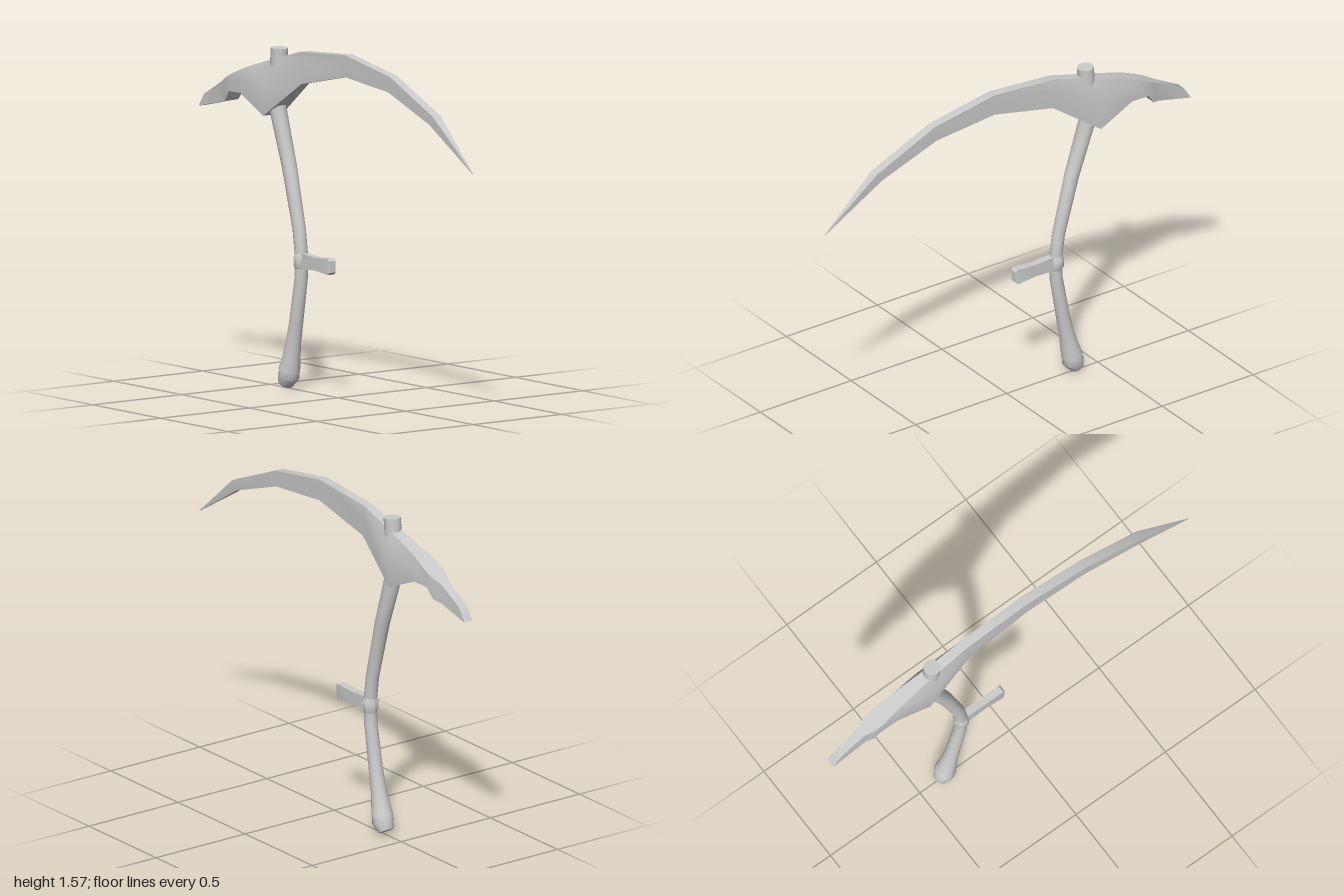
import * as THREE from 'three';
import { toCreasedNormals } from 'three/addons/utils/BufferGeometryUtils.js';

const material = new THREE.MeshStandardMaterial({ color: 0xcccccc });

// Skin a list of equal-length rings, closed with a fan at each end.
function loft(name, rings, crease) {
  const pos = [];
  const tri = (...pts) => pts.forEach((p) => pos.push(p.x, p.y, p.z));
  const n = rings[0].length;
  for (let r = 0; r < rings.length - 1; r++) {
    const a = rings[r], b = rings[r + 1];
    for (let i = 0; i < n; i++) {
      const j = (i + 1) % n;
      tri(a[i], a[j], b[j]);
      tri(a[i], b[j], b[i]);
    }
  }
  const centre = (ring) => ring.reduce((s, p) => s.add(p), new THREE.Vector3()).divideScalar(n);
  const first = rings[0], last = rings[rings.length - 1];
  const c0 = centre(first), c1 = centre(last);
  for (let i = 0; i < n; i++) {
    const j = (i + 1) % n;
    tri(c0, first[j], first[i]);
    tri(c1, last[i], last[j]);
  }
  const geometry = new THREE.BufferGeometry();
  geometry.setAttribute('position', new THREE.Float32BufferAttribute(pos, 3));
  const mesh = new THREE.Mesh(toCreasedNormals(geometry, crease), material);
  mesh.name = name;
  return mesh;
}

// Rings square to a path in the xy plane; each stop is [x, y, radius in plane, radius in z].
function sweep(name, stops, sides, crease, turn = 0) {
  const rings = stops.map(([x, y, r, rz = r], k) => {
    const p = stops[Math.max(k - 1, 0)], q = stops[Math.min(k + 1, stops.length - 1)];
    const t = new THREE.Vector2(q[0] - p[0], q[1] - p[1]).normalize();
    return Array.from({ length: sides }, (_, i) => {
      const a = turn + (i / sides) * Math.PI * 2;
      const u = Math.cos(a) * r;
      return new THREE.Vector3(x - t.y * u, y + t.x * u, Math.sin(a) * rz);
    });
  });
  return loft(name, rings, crease);
}

export function createModel() {
  const model = new THREE.Group();
  model.name = 'pickaxe';

  // Head stations: top x, y, half width; bottom x, y, half width; half width at the middle
  const stations = [
    [-0.96, 1.26, 0.022, -1.0, 1.2, 0.022, 0.022],
    [-0.83, 1.33, 0.023, -0.82, 1.242, 0.023, 0.023],
    [-0.785, 1.353, 0.04, -0.785, 1.25, 0.036, 0.04],
    [-0.74, 1.375, 0.045, -0.75, 1.298, 0.044, 0.045],
    [-0.65, 1.415, 0.038, -0.66, 1.3, 0.045, 0.047],
    [-0.46, 1.475, 0.026, -0.48, 1.22, 0.055, 0.065],
    [-0.25, 1.535, 0.022, -0.24, 1.39, 0.022, 0.024],
    [0.08, 1.56, 0.022, 0.08, 1.46, 0.022, 0.022],
    [0.41, 1.502, 0.022, 0.4, 1.43, 0.022, 0.022],
    [0.73, 1.36, 0.022, 0.7, 1.32, 0.02, 0.022],
    [1.0, 1.13, 0.001, 0.998, 1.128, 0.001, 0.001],
  ];
  const headRings = stations.map(([tx, ty, tw, bx, by, bw, mw]) => {
    const side = [
      new THREE.Vector3(tx, ty, tw),
      new THREE.Vector3(tx + (bx - tx) * 0.4, ty + (by - ty) * 0.4, mw),
      new THREE.Vector3(bx, by, bw),
    ];
    const mirrored = side.map((p) => new THREE.Vector3(p.x, p.y, -p.z)).reverse();
    return [...side, ...mirrored];
  });
  model.add(loft('head', headRings, 0.6));

  // Curved shaft, flared at the foot, passing through the head
  model.add(sweep('shaft', [
    [-0.36, 0.075, 0.05],
    [-0.345, 0.13, 0.042],
    [-0.33, 0.2, 0.035],
    [-0.31, 0.29, 0.032],
    [-0.272, 0.5, 0.03],
    [-0.27, 0.61, 0.03],
    [-0.285, 0.72, 0.03],
    [-0.358, 1.0, 0.034],
    [-0.442, 1.25, 0.039],
    [-0.442, 1.38, 0.039],
    [-0.433, 1.53, 0.039],
  ], 14, 0.9));

  // Pommel with a slanted foot
  model.add(sweep('pommel', [
    [-0.387, 0.012, 0.034],
    [-0.364, 0.05, 0.05],
    [-0.355, 0.085, 0.045],
  ], 12, 0.8));

  // Collar where the side grip meets the shaft
  model.add(sweep('collar', [
    [-0.271, 0.545, 0.029],
    [-0.271, 0.565, 0.035, 0.038],
    [-0.271, 0.6, 0.035, 0.038],
    [-0.271, 0.62, 0.029],
  ], 10, 0.5));

  // Side grip: squared bar, waisted and flared at the end
  const k = Math.SQRT2;
  model.add(sweep('sideGrip', [
    [-0.27, 0.586, 0.034 * k, 0.018 * k],
    [-0.2, 0.585, 0.032 * k, 0.018 * k],
    [-0.15, 0.584, 0.029 * k, 0.017 * k],
    [-0.05, 0.583, 0.037 * k, 0.02 * k],
    [-0.038, 0.583, 0.026 * k, 0.016 * k],
  ], 4, 0.6, Math.PI / 4));

  return model;
}
